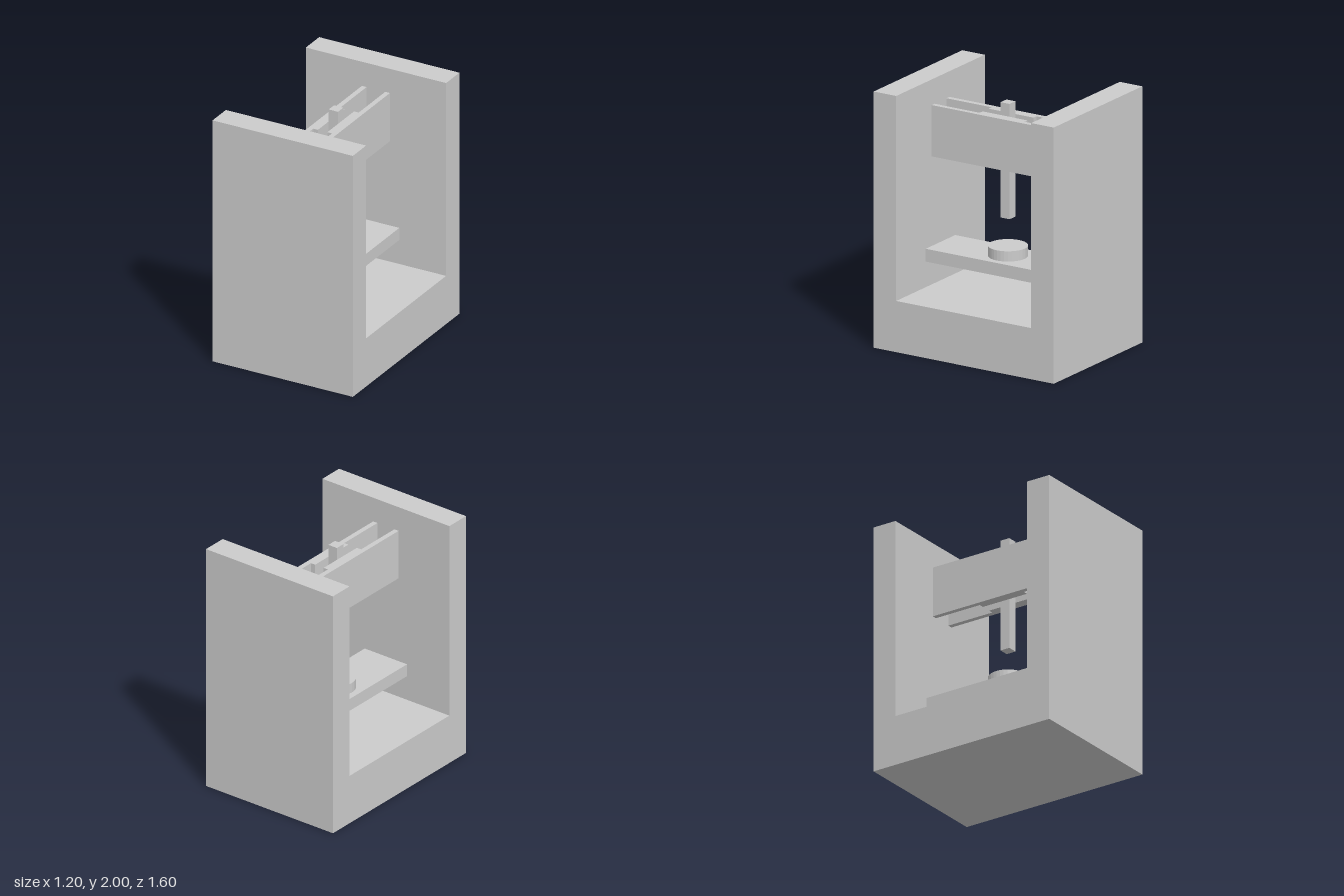
import * as THREE from 'three';

const material = new THREE.MeshStandardMaterial({ color: 0xcccccc, flatShading: true });

function addMesh(group, name, geometry, x = 0, y = 0, z = 0) {
  const mesh = new THREE.Mesh(geometry, material);
  mesh.name = name;
  mesh.position.set(x, y, z);
  group.add(mesh);
  return mesh;
}

// Outline in a plane, extruded by depth
function extrude(points, depth) {
  const shape = new THREE.Shape(points.map(([a, b]) => new THREE.Vector2(a, b)));
  return new THREE.ExtrudeGeometry(shape, { depth, bevelEnabled: false });
}

export function createModel() {
  const press = new THREE.Group();
  press.name = 'press';

  // U-shaped frame: base and two walls in one piece, extruded across x
  const frame = extrude([
    [-0.8, 0], [0.8, 0], [0.8, 2], [0.6, 2],
    [0.6, 0.4], [-0.6, 0.4], [-0.6, 2], [-0.8, 2],
  ], 1.2).translate(0, 0, -0.6).rotateY(Math.PI / 2);
  addMesh(press, 'frame', frame);

  // Work table spanning the walls, with a round die on it
  addMesh(press, 'table', new THREE.BoxGeometry(0.4, 0.1, 1.2), 0, 0.65, 0);
  addMesh(press, 'die', new THREE.CylinderGeometry(0.15, 0.15, 0.08, 32), 0, 0.74, 0);

  // Pair of upper rails, each with a thicker guide block in the middle
  for (const [side, name] of [[1, 'leftRail'], [-1, 'rightRail']]) {
    const rail = extrude([
      [0.12, -0.6], [0.12, 0.6], [0.08, 0.6], [0.08, 0.2],
      [0.04, 0.2], [0.04, -0.2], [0.08, -0.2], [0.08, -0.6],
    ], 0.4).rotateX(-Math.PI / 2);
    const mesh = addMesh(press, name, rail, 0, 1.4, 0);
    if (side < 0) mesh.rotation.y = Math.PI;
  }

  // Square ram sliding between the guide blocks
  addMesh(press, 'ram', new THREE.BoxGeometry(0.08, 0.9, 0.08), 0, 1.45, 0);

  return press;
}
